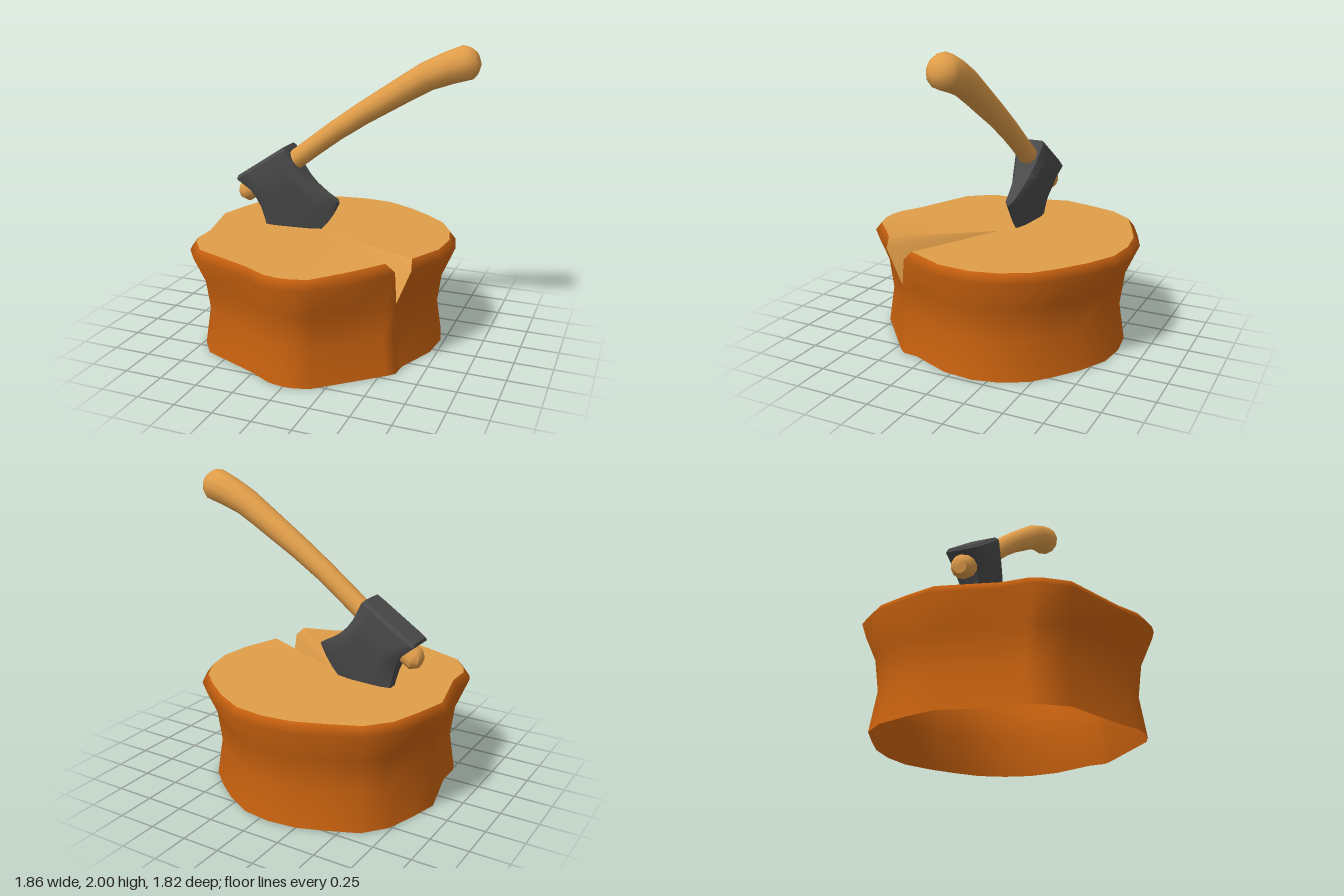
import * as THREE from 'three';
import { toCreasedNormals } from 'three/addons/utils/BufferGeometryUtils.js';

const material = (name, color, side = THREE.FrontSide) => {
  const m = new THREE.MeshStandardMaterial({ color, side });
  m.name = name;
  return m;
};

function surface(points, index) {
  const g = new THREE.BufferGeometry();
  g.setAttribute('position', new THREE.Float32BufferAttribute(points.flat(), 3));
  g.setIndex(index);
  g.computeVertexNormals();
  return g;
}

// Skin a list of equal rings, closing both ends with fans
function loft(rings) {
  const n = rings[0].length, last = rings.length - 1;
  const points = rings.flat(), index = [];
  for (let i = 0; i < last; i++) {
    for (let j = 0; j < n; j++) {
      const k = (j + 1) % n, a = i * n + j, b = i * n + k;
      index.push(a, b, b + n, a, b + n, a + n);
    }
  }
  for (const r of [0, last]) {
    const centre = [0, 1, 2].map((c) => rings[r].reduce((s, p) => s + p[c], 0) / n);
    const c = points.push(centre) - 1;
    for (let j = 0; j < n; j++) {
      const a = r * n + j, b = r * n + (j + 1) % n;
      if (r === 0) index.push(c, b, a);
      else index.push(c, a, b);
    }
  }
  return surface(points, index);
}

export function createModel() {
  const bark = material('bark', 0xc8610f, THREE.DoubleSide);
  const wood = material('cut wood', 0xe09d49, THREE.DoubleSide);
  const steel = material('dark steel', 0x4a4a4a);
  const model = new THREE.Group();
  const add = (name, geometry, mat, parent = model) => {
    const mesh = new THREE.Mesh(geometry, mat);
    mesh.name = name;
    parent.add(mesh);
  };

  // Stump outline [x, z]: right lip of the split, round the back to the left lip, then the split's root
  const outline = [
    [0.66, 0.34], [0.78, 0.05], [0.8, -0.17], [0.755, -0.355], [0.66, -0.53], [0.52, -0.655],
    [0.35, -0.78], [0.15, -0.885], [-0.06, -0.91], [-0.27, -0.885], [-0.465, -0.81], [-0.67, -0.72],
    [-0.8, -0.565], [-0.87, -0.355], [-0.925, -0.145], [-0.83, 0.25], [-0.83, 0.42], [-0.8, 0.495],
    [-0.695, 0.635], [-0.27, 0.8], [-0.11, 0.885], [0, 0.905], [0.09, 0.897], [0.19, 0.865],
    [0.38, 0.7], [0.6, 0.51], [0.65, 0.455],
  ];
  const n = outline.length, root = n - 1, leftLip = n - 2;
  const levels = [[0, 0.912], [0.25, 0.87], [0.47, 0.903], [0.665, 1], [0.72, 0.953]];
  const rings = levels.map(([y, s]) => outline.map(([x, z]) => [-0.06 + (x + 0.06) * s, y, z * s]));

  // The split lifts its lips
  rings[3][0] = [0.655, 0.675, 0.35];
  rings[4][0] = [0.64, 0.73, 0.3];
  rings[3][leftLip] = [0.6, 0.71, 0.51];
  rings[4][leftLip] = [0.545, 0.765, 0.525];
  rings[4][leftLip - 1][1] = 0.735;

  // Bark, open at the bottom and cut above the split's root
  const index = [];
  for (let i = 0; i < 4; i++) {
    for (let j = 0; j < n; j++) {
      const k = (j + 1) % n, a = i * n + j, b = i * n + k;
      if (i < 2 || j < leftLip) index.push(a, b, b + n, a, b + n, a + n);
      else if (i === 2 && j === leftLip) index.push(a, b, a + n);
      else if (i === 2) index.push(a, b, b + n);
    }
  }
  const stump = new THREE.Group();
  stump.name = 'stump';
  model.add(stump);
  add('barkWall', surface(rings.flat(), index), bark, stump);

  // Cut top fans out from the inner end of the split
  const apex = [0, 0.72, 0.01];
  const topIndex = [];
  for (let j = 1; j <= leftLip; j++) topIndex.push(0, j, j + 1);
  add('stumpTop', surface([apex, ...rings[4].slice(0, root)], topIndex), wood, stump);

  // Walls of the split
  const bottom = rings[2][root];
  add('splitLeftWall', surface([apex, rings[4][leftLip], rings[3][leftLip], bottom],
    [0, 1, 2, 0, 2, 3]), wood, stump);
  add('splitRightWall', surface([apex, bottom, rings[3][0], rings[4][0]],
    [0, 1, 2, 0, 2, 3]), wood, stump);

  const axe = new THREE.Group();
  axe.name = 'axe';
  axe.position.z = -0.068;
  model.add(axe);

  // Axe head rows from poll to edge: upper corner, lower corner, half thickness, side factor, bulge
  const rows = [
    [-0.345, 1.285, -0.69, 1.058, 0.085, 0.95, 0],
    [-0.33, 1.268, -0.69, 1.035, 0.103, 0.95, 0],
    [-0.255, 1.14, -0.6, 0.96, 0.103, 0.7, 0],
    [-0.205, 1.08, -0.56, 0.895, 0.09, 0.65, 0],
    [-0.15, 1.03, -0.535, 0.835, 0.073, 0.65, 0.01],
    [-0.07, 0.975, -0.51, 0.74, 0.052, 0.7, 0.03],
    [0.01, 0.932, -0.5, 0.62, 0.028, 0.9, 0.07],
    [0.022, 0.91, -0.49, 0.58, 0.003, 1, 0.1],
  ];
  const columns = 8;
  const headRings = rows.map(([px, py, qx, qy, half, side, bulge]) => {
    const face = (sign) => Array.from({ length: columns + 1 }, (_, c) => {
      const t = c / columns, d = bulge * 4 * t * (1 - t);
      const f = c === 0 || c === columns ? side : 1;
      return [px + (qx - px) * t + 0.55 * d, py + (qy - py) * t - 0.83 * d, sign * half * f];
    });
    return [...face(1), ...face(-1).reverse()];
  });
  add('axeHead', toCreasedNormals(loft(headRings), 0.6), steel, axe);

  // Handle stations: x, y, radius
  const stations = [
    [-0.7, 0.925, 0.045], [-0.665, 0.935, 0.074], [-0.6, 0.97, 0.07], [-0.29, 1.19, 0.066],
    [-0.14, 1.305, 0.066], [0, 1.41, 0.068], [0.18, 1.533, 0.073], [0.35, 1.64, 0.08],
    [0.48, 1.722, 0.085], [0.6, 1.795, 0.091], [0.74, 1.855, 0.101], [0.855, 1.895, 0.108],
    [0.89, 1.908, 0.085], [0.915, 1.917, 0.05],
  ];
  const sides = 12;
  const handleRings = stations.map(([x, y, r], i) => {
    const a = stations[Math.max(i - 1, 0)], b = stations[Math.min(i + 1, stations.length - 1)];
    const angle = Math.atan2(b[1] - a[1], b[0] - a[0]);
    return Array.from({ length: sides }, (_, j) => {
      const t = (j / sides) * Math.PI * 2, up = r * Math.cos(t);
      return [x - Math.sin(angle) * up, y + Math.cos(angle) * up, r * Math.sin(t)];
    });
  });
  add('axeHandle', toCreasedNormals(loft(handleRings), 0.8), wood, axe);

  return model;
}
